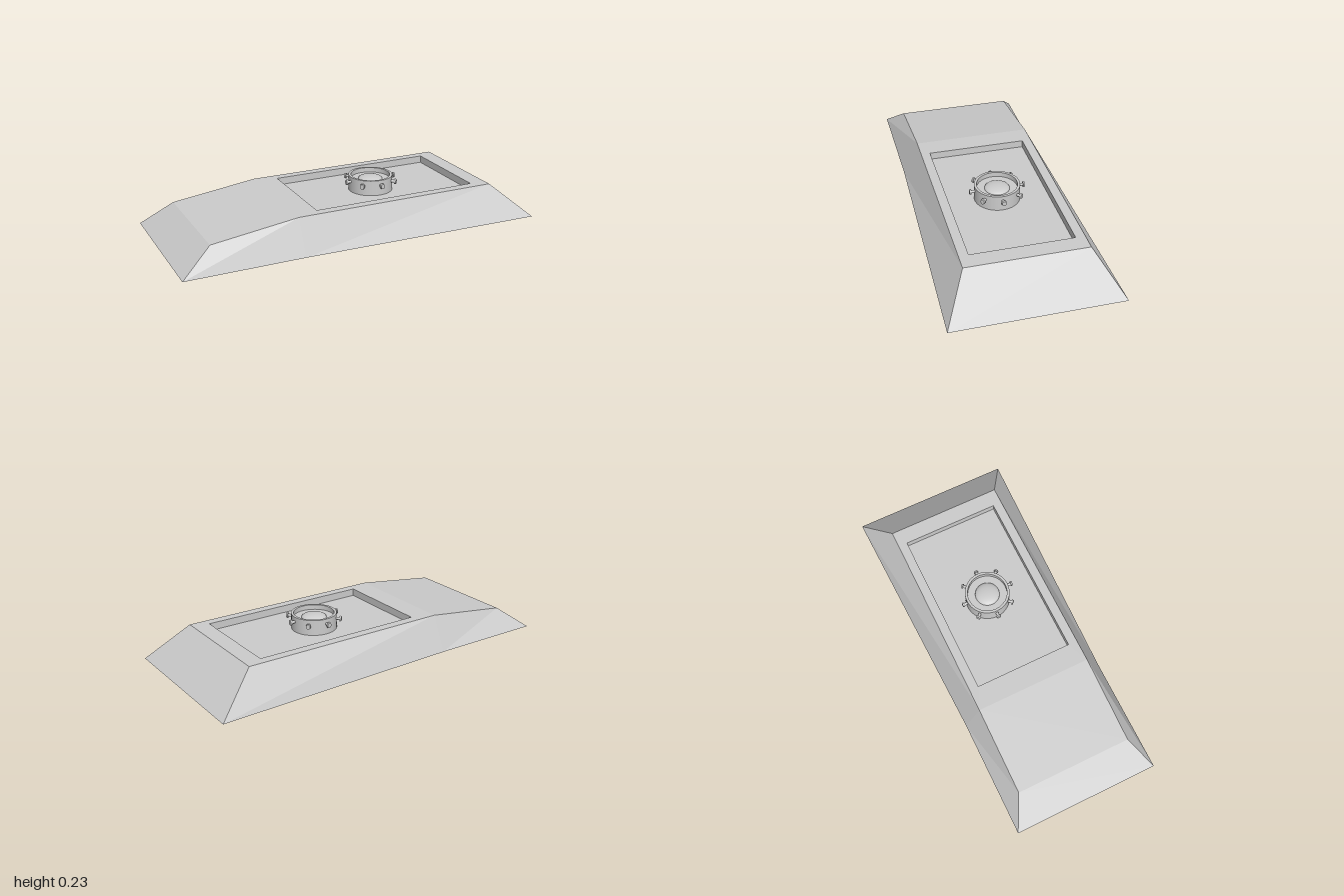
import * as THREE from 'three';

const hullGrey = new THREE.MeshStandardMaterial({ color: 0xcccccc });
hullGrey.name = 'hull grey';

// Flat-shaded surface from four-cornered faces, corners anticlockwise from outside
function quads(faces) {
  const p = [];
  for (const [a, b, c, d] of faces) p.push(...a, ...b, ...c, ...a, ...c, ...d);
  const g = new THREE.BufferGeometry();
  g.setAttribute('position', new THREE.Float32BufferAttribute(p, 3));
  g.computeVertexNormals();
  return g;
}

function part(name, geometry, parent) {
  const mesh = new THREE.Mesh(geometry, hullGrey);
  mesh.name = name;
  parent.add(mesh);
  return mesh;
}

// Corners of a level rectangle, anticlockwise seen from above
const rect = (x0, x1, y, z) => [[x0, y, z], [x1, y, z], [x1, y, -z], [x0, y, -z]];

export function createModel() {
  const model = new THREE.Group();
  model.name = 'slopedHull';
  const DECK = 0.187, FLOOR = 0.147, TOP = 0.231;

  // Hull stations from nose to tail: lower and upper edge points
  const stations = [
    { lo: [-1, 0, 0.405], hi: [-0.83, 0.125, 0.32] },
    { lo: [-0.36, 0, 0.405], hi: [-0.36, DECK, 0.32] },
    { lo: [1, 0, 0.445], hi: [0.785, DECK, 0.32] },
  ];
  const back = ([x, y, z]) => [x, y, -z];
  const [nose, mid, tail] = stations;
  const faces = [
    [nose.lo, nose.hi, back(nose.hi), back(nose.lo)],
    [tail.lo, back(tail.lo), back(tail.hi), tail.hi],
    [nose.hi, mid.hi, back(mid.hi), back(nose.hi)],
  ];
  for (let i = 0; i < 2; i++) {
    const a = stations[i], b = stations[i + 1];
    faces.push([a.lo, b.lo, b.hi, a.hi]);
    faces.push([back(b.lo), back(a.lo), back(a.hi), back(b.hi)]);
    faces.push([a.lo, back(a.lo), back(b.lo), b.lo]);
  }
  part('hull', quads(faces), model);

  // Deck around the recess, then the recess walls and floor
  const rim = rect(-0.24, 0.695, DECK, 0.27);
  const floor = rect(-0.24, 0.695, FLOOR, 0.27);
  const edge = rect(-0.36, 0.785, DECK, 0.32);
  const deck = [], well = [floor];
  for (let i = 0; i < 4; i++) {
    const j = (i + 1) % 4;
    deck.push([edge[i], edge[j], rim[j], rim[i]]);
    well.push([rim[i], rim[j], floor[j], floor[i]]);
  }
  part('deck', quads(deck), model);
  part('recess', quads(well), model);

  // Turret ring with eight studs
  const turret = new THREE.Group();
  turret.name = 'turretRing';
  turret.position.set(0.21, 0, 0);
  model.add(turret);

  const lathe = (pts) => {
    const g = new THREE.LatheGeometry(pts.map(([r, y]) => new THREE.Vector2(r, y)), 40);
    return g;
  };
  part('ringWall', lathe([[0.122, FLOOR], [0.122, TOP]]), turret);
  part('ringTop', lathe([[0.122, TOP], [0.108, TOP]]), turret);
  part('ringInside', lathe([[0.108, TOP], [0.108, 0.205]]), turret);
  part('ringPlate', lathe([[0.108, 0.205], [0, 0.205]]), turret);

  // Shallow dome in the middle of the ring
  const dome = new THREE.SphereGeometry(0.067, 32, 10, 0, Math.PI * 2, 0, Math.PI / 2);
  dome.scale(1, 0.3, 1);
  part('dome', dome, turret).position.y = 0.205;

  const shaft = new THREE.CylinderGeometry(0.008, 0.008, 0.03, 12).rotateZ(-Math.PI / 2);
  const head = new THREE.CylinderGeometry(0.012, 0.014, 0.009, 16)
    .rotateZ(-Math.PI / 2).scale(1, 1.15, 0.95);
  for (let i = 0; i < 8; i++) {
    const stud = new THREE.Group();
    stud.name = 'stud';
    stud.rotation.y = (i * Math.PI) / 4;
    part('studShaft', shaft, stud).position.set(0.13, 0.204, 0);
    part('studHead', head, stud).position.set(0.1455, 0.204, 0);
    turret.add(stud);
  }
  return model;
}
